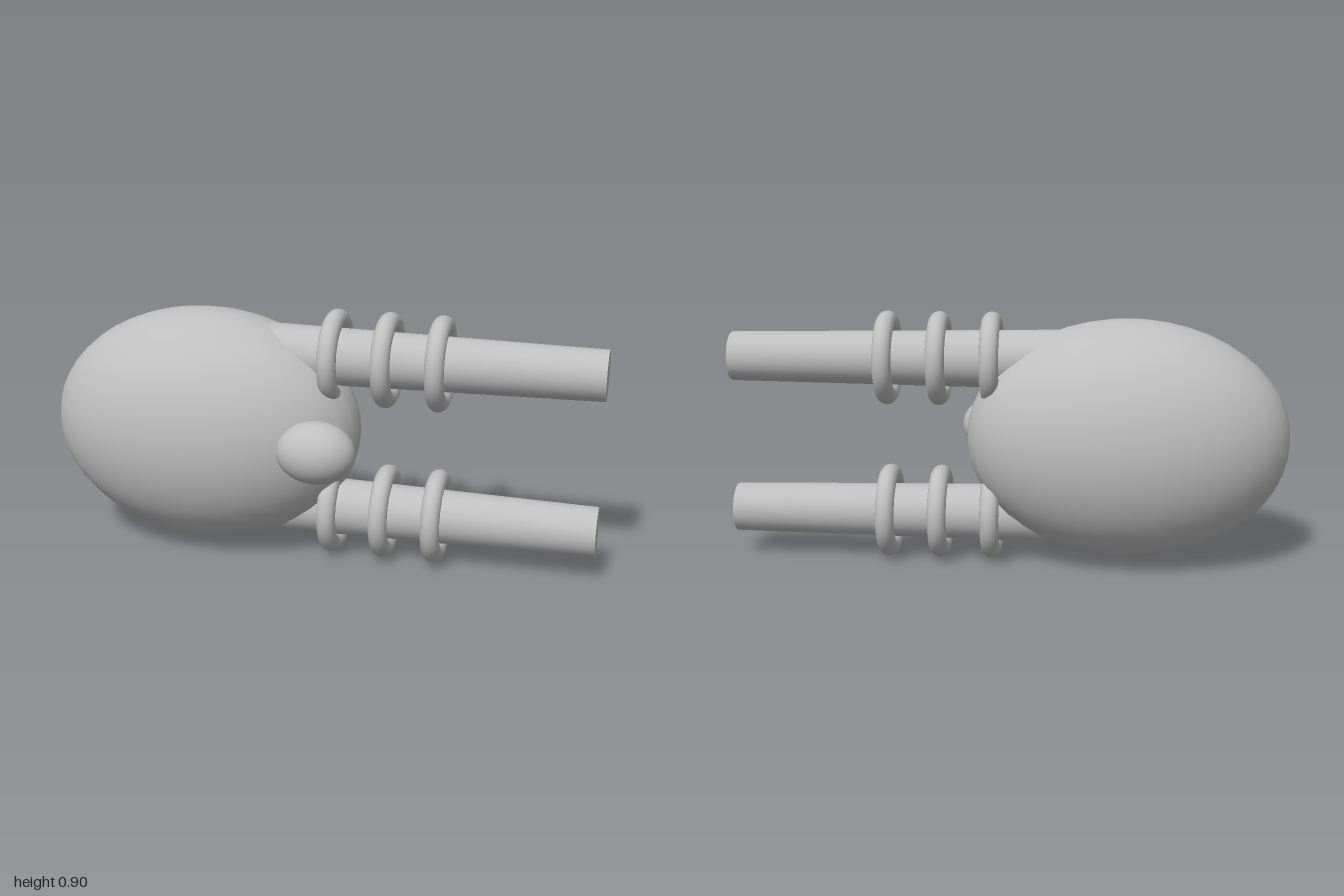
import * as THREE from 'three';

export function createModel() {
  const model = new THREE.Group();
  const grey = new THREE.MeshStandardMaterial({ color: 0xbfbfbf });
  grey.name = 'plain grey';

  const add = (name, geometry, x, y, z, parent = model) => {
    const mesh = new THREE.Mesh(geometry, grey);
    mesh.name = name;
    mesh.position.set(x, y, z);
    parent.add(mesh);
    return mesh;
  };

  // Egg-shaped body and the small knob on its front
  add('body', new THREE.SphereGeometry(1, 32, 24), -0.425, 0.452, 0).scale.set(0.575, 0.428, 0.335);
  add('knob', new THREE.SphereGeometry(1, 32, 24), 0.05, 0.45, 0.23).scale.set(0.14, 0.11, 0.105);

  // Two tapered arms running along x, each with three rings
  const armGeometry = new THREE.CylinderGeometry(0.088, 0.107, 1.25, 32).rotateZ(-Math.PI / 2);
  const ringGeometry = new THREE.TorusGeometry(0.134, 0.034, 16, 48).rotateY(Math.PI / 2);
  for (const [name, y] of [['upperArm', 0.733], ['lowerArm', 0.17]]) {
    const arm = new THREE.Group();
    arm.name = name;
    arm.position.y = y;
    model.add(arm);
    add('tube', armGeometry, 0.375, 0, 0, arm);
    for (const x of [0.06, 0.248, 0.435]) add('ring', ringGeometry, x, 0, 0, arm);
  }

  return model;
}
